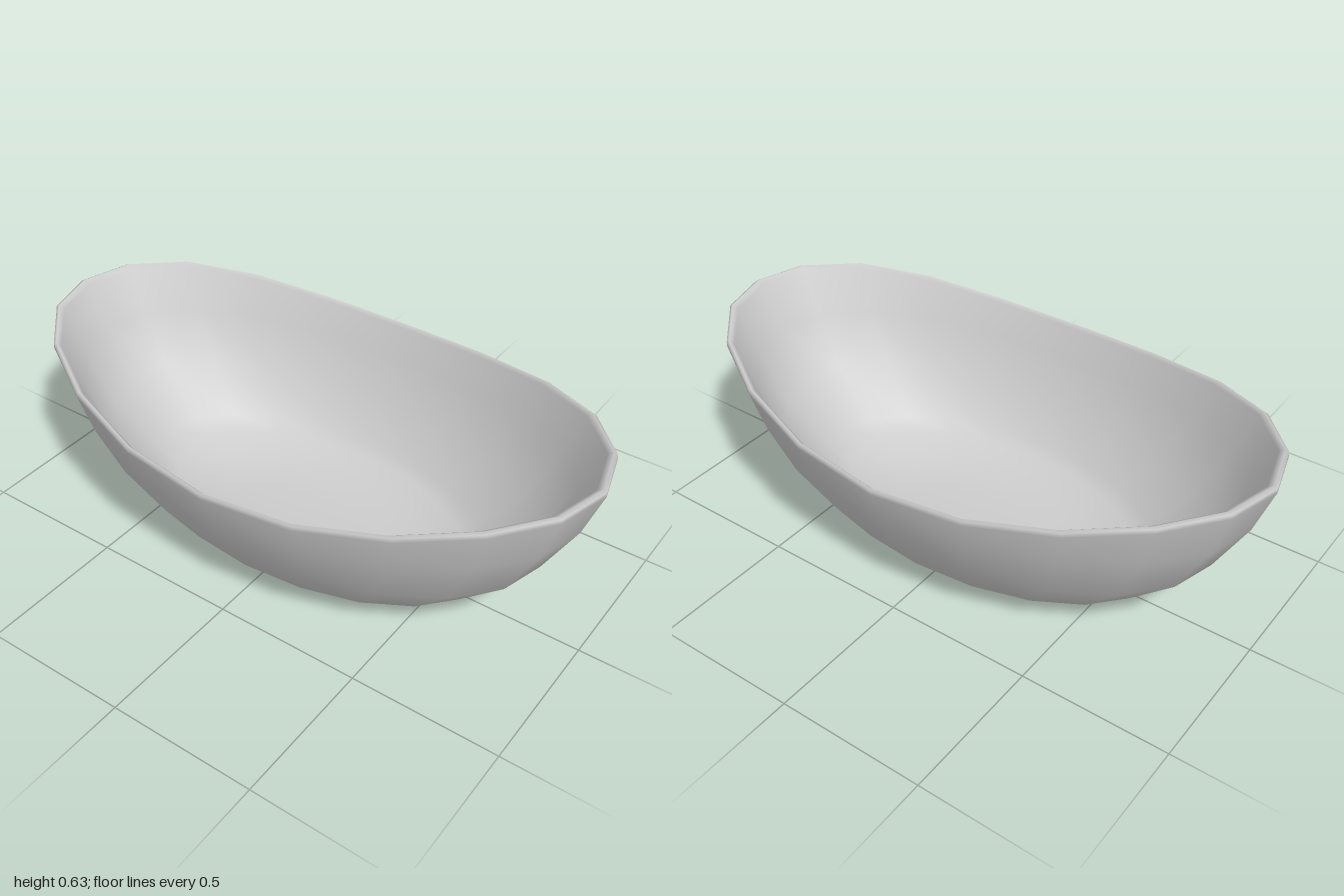
import * as THREE from 'three';
import { mergeVertices } from 'three/addons/utils/BufferGeometryUtils.js';

const SEGMENTS = 20;
const DEPTH = 0.57; // half depth relative to half width
const RIM_LIFT = 0.111; // extra height of the two ends

// Cross-section: outside from the base up, over the lip, down the inside
const PROFILE = [
  [0, 0], [0.3, 0.002], [0.4, 0.011], [0.5, 0.035], [0.59, 0.068], [0.665, 0.1],
  [0.836, 0.252], [0.942, 0.4], [1, 0.502],
  [0.999, 0.517], [0.988, 0.522], [0.968, 0.51],
  [0.9, 0.412], [0.795, 0.272], [0.625, 0.134], [0.55, 0.102], [0.46, 0.072],
  [0.37, 0.053], [0.28, 0.046], [0, 0.044],
];

function bowlGeometry() {
  const points = PROFILE.map(([r, y]) => new THREE.Vector2(r, y));
  let geometry = new THREE.LatheGeometry(points, SEGMENTS);

  // Squash to an oval, narrower under the base, and sweep the walls up to both ends
  const p = geometry.attributes.position;
  for (let i = 0; i < p.count; i++) {
    const x = p.getX(i), y = p.getY(i), z = p.getZ(i);
    const r = Math.hypot(x, z) || 1;
    const endness = Math.sin((Math.PI / 2) * (x / r) ** 2);
    const t = THREE.MathUtils.clamp((y - 0.1) / 0.4, 0, 1);
    const depth = DEPTH * (1 - 4.4 * Math.max(0, 0.6 - r) ** 2);
    p.setXYZ(i, x, y + RIM_LIFT * endness * t ** 2.8, z * depth);
  }

  // Weld the seam so the shading is continuous
  geometry.deleteAttribute('normal');
  geometry.deleteAttribute('uv');
  geometry = mergeVertices(geometry, 1e-4);
  geometry.computeVertexNormals();
  return geometry;
}

export function createModel() {
  const group = new THREE.Group();
  group.name = 'ovalBowl';
  const bowl = new THREE.Mesh(
    bowlGeometry(),
    new THREE.MeshStandardMaterial({ color: 0xcccccc }),
  );
  bowl.name = 'bowlShell';
  group.add(bowl);
  return group;
}
